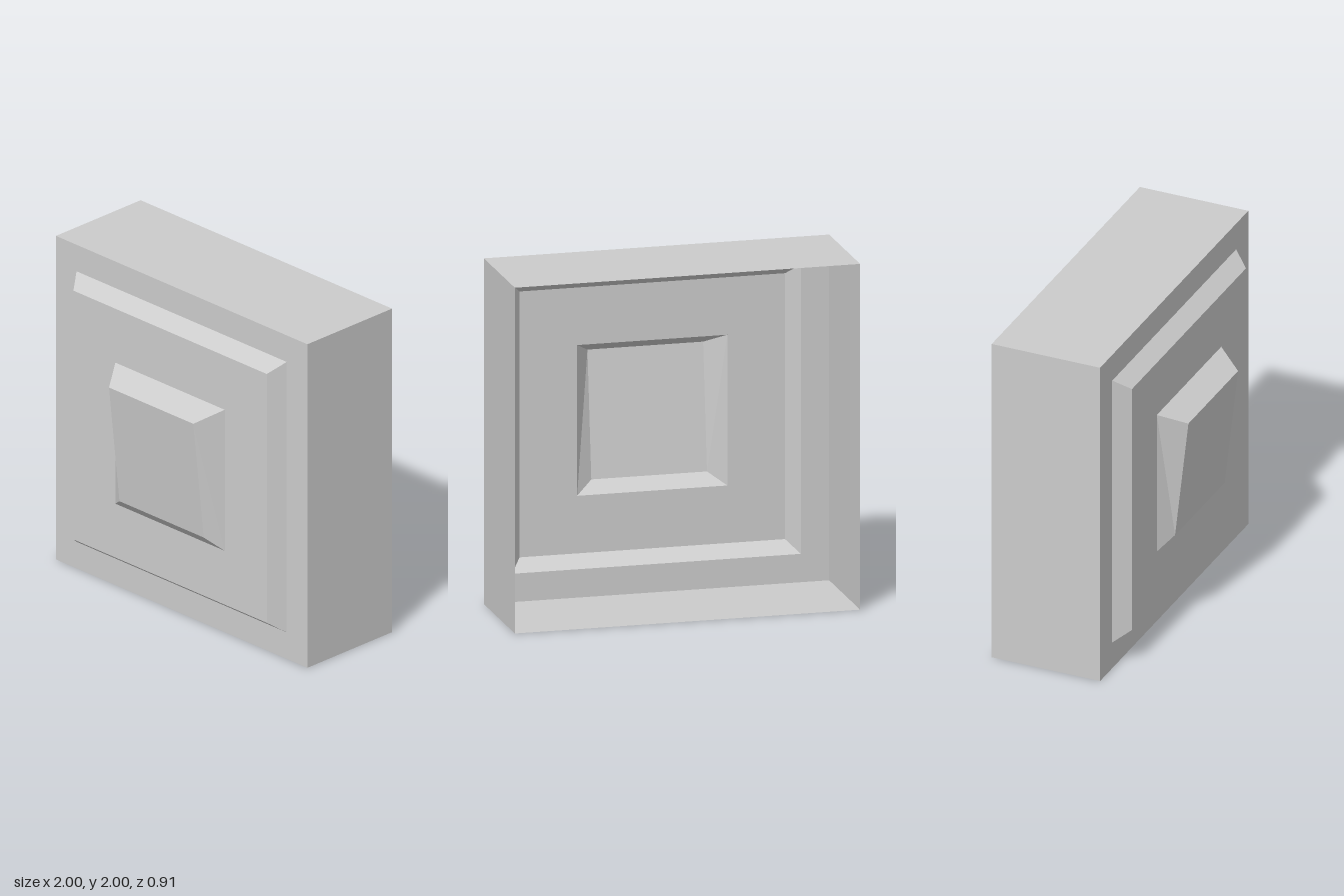
import * as THREE from 'three';

// Rectangular outline centred on y = 1; zBottom and zTop let it tilt
function ring(halfX, halfY, zBottom, zTop = zBottom) {
  return [
    [-halfX, 1 - halfY, zBottom],
    [halfX, 1 - halfY, zBottom],
    [halfX, 1 + halfY, zTop],
    [-halfX, 1 + halfY, zTop],
  ];
}

// Thin surface joining successive outlines, optionally closed by the last one
function shell(name, rings, capped, material) {
  const pos = [];
  const quad = (a, b, c, d) => pos.push(...a, ...b, ...c, ...a, ...c, ...d);
  for (let r = 0; r < rings.length - 1; r++) {
    for (let i = 0; i < 4; i++) {
      const j = (i + 1) % 4;
      quad(rings[r][i], rings[r][j], rings[r + 1][j], rings[r + 1][i]);
    }
  }
  if (capped) quad(...rings[rings.length - 1]);
  const geometry = new THREE.BufferGeometry();
  geometry.setAttribute('position', new THREE.Float32BufferAttribute(pos, 3));
  geometry.computeVertexNormals();
  const mesh = new THREE.Mesh(geometry, material);
  mesh.name = name;
  return mesh;
}

export function createModel() {
  const group = new THREE.Group();
  group.name = 'wallPanel';
  const material = new THREE.MeshStandardMaterial({
    color: 0xcccccc,
    flatShading: true,
    side: THREE.DoubleSide,
  });

  const back = ring(1, 1, -0.453);
  const front = ring(1, 1, 0.213);
  const stepBase = ring(0.836, 0.836, 0.213);
  const stepTop = ring(0.769, 0.769, 0.304);
  const bossBase = ring(0.435, 0.436, 0.304);
  const bossTop = ring(0.335, 0.365, 0.371, 0.453);

  // Outer walls, open at the back
  group.add(shell('outerWalls', [back, front], false, material));
  // Flat border around the raised panel
  group.add(shell('frontBorder', [front, stepBase], false, material));
  // Bevelled raised panel with a square opening under the boss
  group.add(shell('raisedPanel', [stepBase, stepTop, bossBase], false, material));
  // Central boss with its face tilted downward
  group.add(shell('slopedBoss', [bossBase, bossTop], true, material));

  return group;
}
